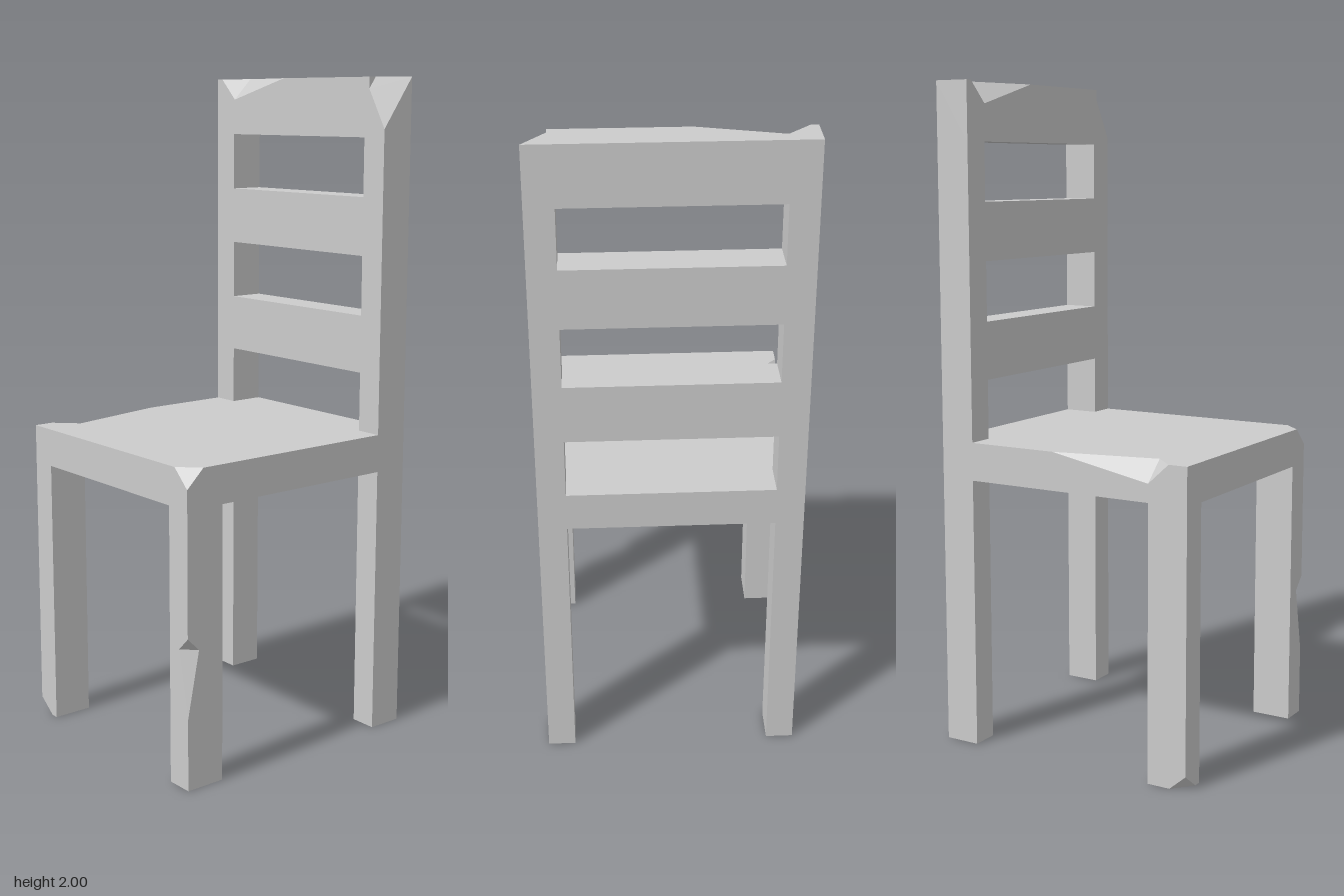
import * as THREE from 'three';
import { ConvexGeometry } from 'three/addons/geometries/ConvexGeometry.js';

const X = 0.419, Z = 0.386;         // half depth and half width
const BACK = 0.31, LEG = 0.303;     // front of the back posts, inner side of the legs
const UNDER = 0.825, SEAT = 0.94, TOP = 2;

const material = new THREE.MeshStandardMaterial({ color: 0xcccccc, flatShading: true });

function add(parent, name, geometry) {
  const mesh = new THREE.Mesh(geometry, material);
  mesh.name = name;
  parent.add(mesh);
  return mesh;
}

// Plain block between two opposite corners
function block(parent, name, min, max) {
  const size = max.map((v, i) => v - min[i]);
  const mesh = add(parent, name, new THREE.BoxGeometry(...size));
  mesh.position.set(...min.map((v, i) => v + size[i] / 2));
}

// Block with chipped corners. chips maps a corner such as '-++' to the
// distances cut off along x, y and z (0 = no cut point on that edge).
function chipped(parent, name, min, max, chips) {
  const points = [];
  for (const sx of '-+') for (const sy of '-+') for (const sz of '-+') {
    const signs = [sx, sy, sz];
    const corner = signs.map((s, i) => (s === '+' ? max[i] : min[i]));
    const cut = chips[signs.join('')];
    if (!cut) {
      points.push(new THREE.Vector3(...corner));
      continue;
    }
    cut.forEach((d, i) => {
      if (d === 0) return;
      const p = [...corner];
      p[i] += signs[i] === '+' ? -d : d;
      points.push(new THREE.Vector3(...p));
    });
  }
  add(parent, name, new ConvexGeometry(points));
}

export function createModel() {
  const chair = new THREE.Group();
  chair.name = 'chair';

  // Seat, divided at the deepest point of the nick in its side edge
  const seat = new THREE.Group();
  seat.name = 'seat';
  chair.add(seat);
  const nickX = -0.295;
  chipped(seat, 'seatFront', [-X, UNDER, -Z], [nickX, SEAT, Z], {
    '++-': [0.065, 0.06, 0.065],
    '-++': [0.057, 0.055, 0.057],
  });
  chipped(seat, 'seatRear', [nickX, UNDER, -Z], [BACK, SEAT, Z], {
    '-+-': [0.32, 0.06, 0.065],
  });

  // Front leg with a nick in its outer edge
  const nickedLeg = new THREE.Group();
  nickedLeg.name = 'nickedFrontLeg';
  chair.add(nickedLeg);
  const nickY = 0.415;
  chipped(nickedLeg, 'legLower', [-X, 0, LEG], [-0.295, nickY, Z], {
    '-++': [0.04, 0.2, 0.04],
  });
  chipped(nickedLeg, 'legUpper', [-X, nickY, LEG], [-0.295, UNDER, Z], {
    '--+': [0.04, 0.04, 0.04],
  });

  // Front leg with a chipped foot
  chipped(chair, 'chippedFrontLeg', [-X, 0, -Z], [-0.295, UNDER, -LEG], {
    '---': [0.052, 0.045, 0.06],
  });

  // Back legs, running on as the posts of the backrest
  block(chair, 'leftBackPost', [BACK, 0, LEG], [X, 1.825, Z]);
  block(chair, 'rightBackPost', [BACK, 0, -Z], [X, 1.825, -LEG]);

  // Rails between the posts
  for (const [name, low, high] of [
    ['seatRail', UNDER, SEAT],
    ['lowerSlat', 1.12, 1.295],
    ['upperSlat', 1.475, 1.65],
  ]) block(chair, name, [BACK, low, -LEG], [X, high, LEG]);

  // Top rail with a nick in its front edge and a broken corner
  const topRail = new THREE.Group();
  topRail.name = 'topRail';
  chair.add(topRail);
  const nickZ = -0.3, breakZ = 0.32;
  chipped(topRail, 'railRight', [BACK, 1.825, -Z], [X, TOP, nickZ], {
    '-++': [0.065, 0.065, 0.065],
  });
  chipped(topRail, 'railMiddle', [BACK, 1.825, nickZ], [X, TOP, breakZ], {
    '-+-': [0.065, 0.065, 0.24],
  });
  chipped(topRail, 'railBrokenEnd', [BACK, 1.825, breakZ], [X, TOP, Z], {
    '-++': [X - BACK, 0.15, 0],
    '-+-': [0.025, 0.034, 0],
  });

  return chair;
}
